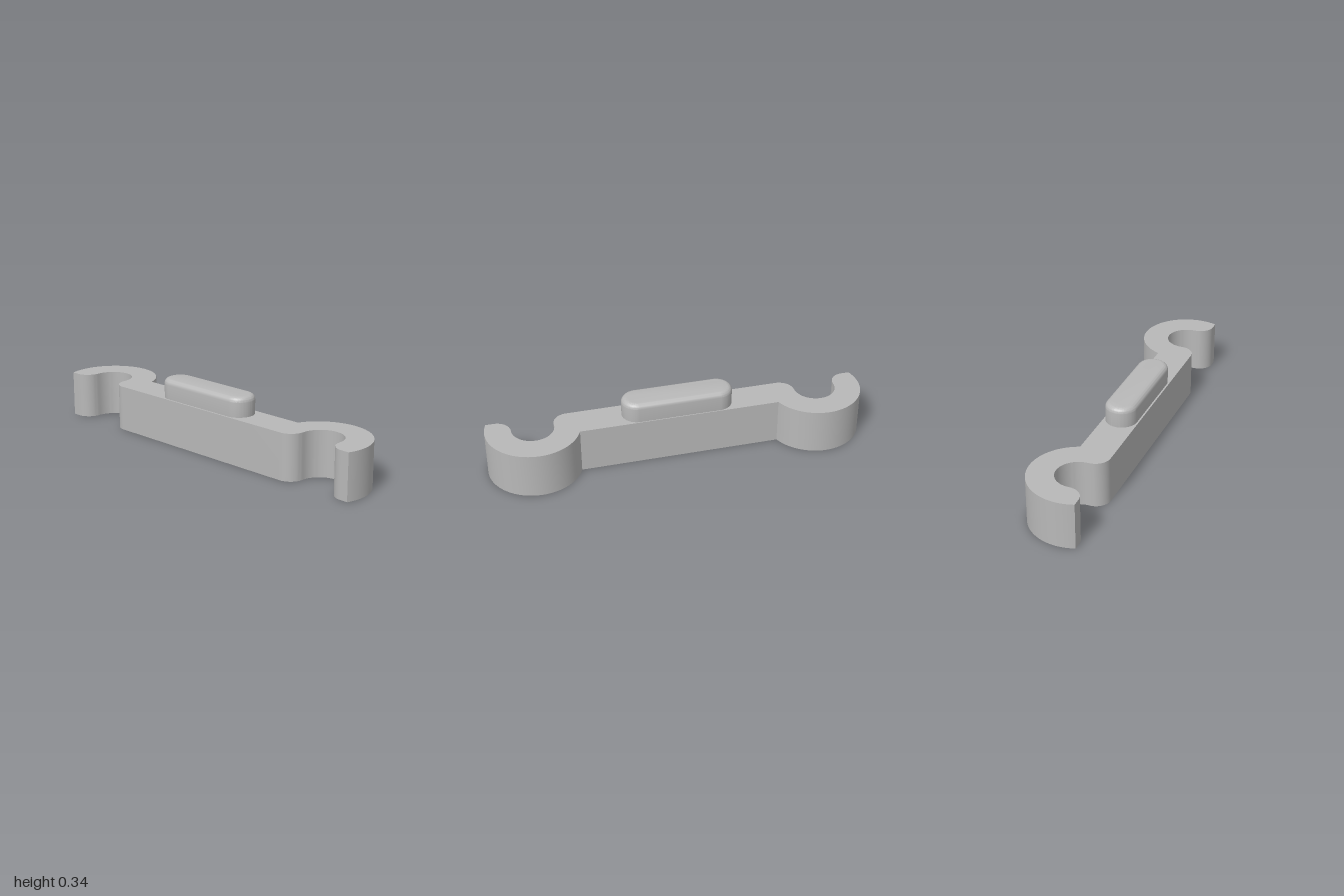
import * as THREE from 'three';
import { toCreasedNormals } from 'three/addons/utils/BufferGeometryUtils.js';

const HEIGHT = 0.242;

// Extrude a plan outline upwards, keeping hard edges sharp
function extrudeUp(shape, options) {
  const geometry = new THREE.ExtrudeGeometry(shape, options);
  geometry.rotateX(-Math.PI / 2);
  return toCreasedNormals(geometry, 0.6);
}

// Outline of half the bar with its open hook, mirrored for the other half
function barShape() {
  const left = -0.167, right = 0.01, cx = -0.08, cz = 0.755;
  const outer = 0.245, inner = 0.11, fillet = 0.077;
  const start = -Math.acos((right - cx) / outer);
  const end = Math.acos((left - cx) / outer);
  const half = [];
  const arc = (x, z, r, a, b, n) => {
    for (let i = 0; i <= n; i++) {
      const t = a + (b - a) * i / n;
      half.push(new THREE.Vector2(x + r * Math.cos(t), z + r * Math.sin(t)));
    }
  };
  arc(cx, cz, outer, start, end, 48);
  arc(left + fillet, cz + inner + fillet, fillet, Math.PI, Math.PI * 1.5, 12);
  arc(cx, cz, inner, Math.PI / 2, -Math.PI / 2, 32);
  arc(left + fillet, cz - inner - fillet, fillet, Math.PI / 2, Math.PI, 12);
  const mirrored = half.map((p) => new THREE.Vector2(p.x, -p.y)).reverse();
  return new THREE.Shape([...half, ...mirrored]);
}

// Long pill outline
function pillShape(radius, straight) {
  const shape = new THREE.Shape();
  shape.absarc(0, straight, radius, 0, Math.PI, false);
  shape.absarc(0, -straight, radius, Math.PI, Math.PI * 2, false);
  return shape;
}

export function createModel() {
  const model = new THREE.Group();
  const grey = new THREE.MeshStandardMaterial({ color: 0xb8b8b8 });
  grey.name = 'grey';

  // Bar with a hook at each end
  const bar = new THREE.Mesh(
    extrudeUp(barShape(), { depth: HEIGHT, bevelEnabled: false }), grey);
  bar.name = 'hookedBar';
  model.add(bar);

  // Raised pad with a rounded top edge, its lower bevel sunk into the bar
  const round = 0.028, radius = 0.0815, bottom = 0.18, top = 0.345;
  const pad = new THREE.Mesh(
    extrudeUp(pillShape(radius - round, 0.293 - radius), {
      depth: top - round - bottom, curveSegments: 24,
      bevelSize: round, bevelThickness: round, bevelSegments: 8,
    }), grey);
  pad.name = 'raisedPad';
  pad.position.set(-0.0765, bottom, 0);
  model.add(pad);

  return model;
}
